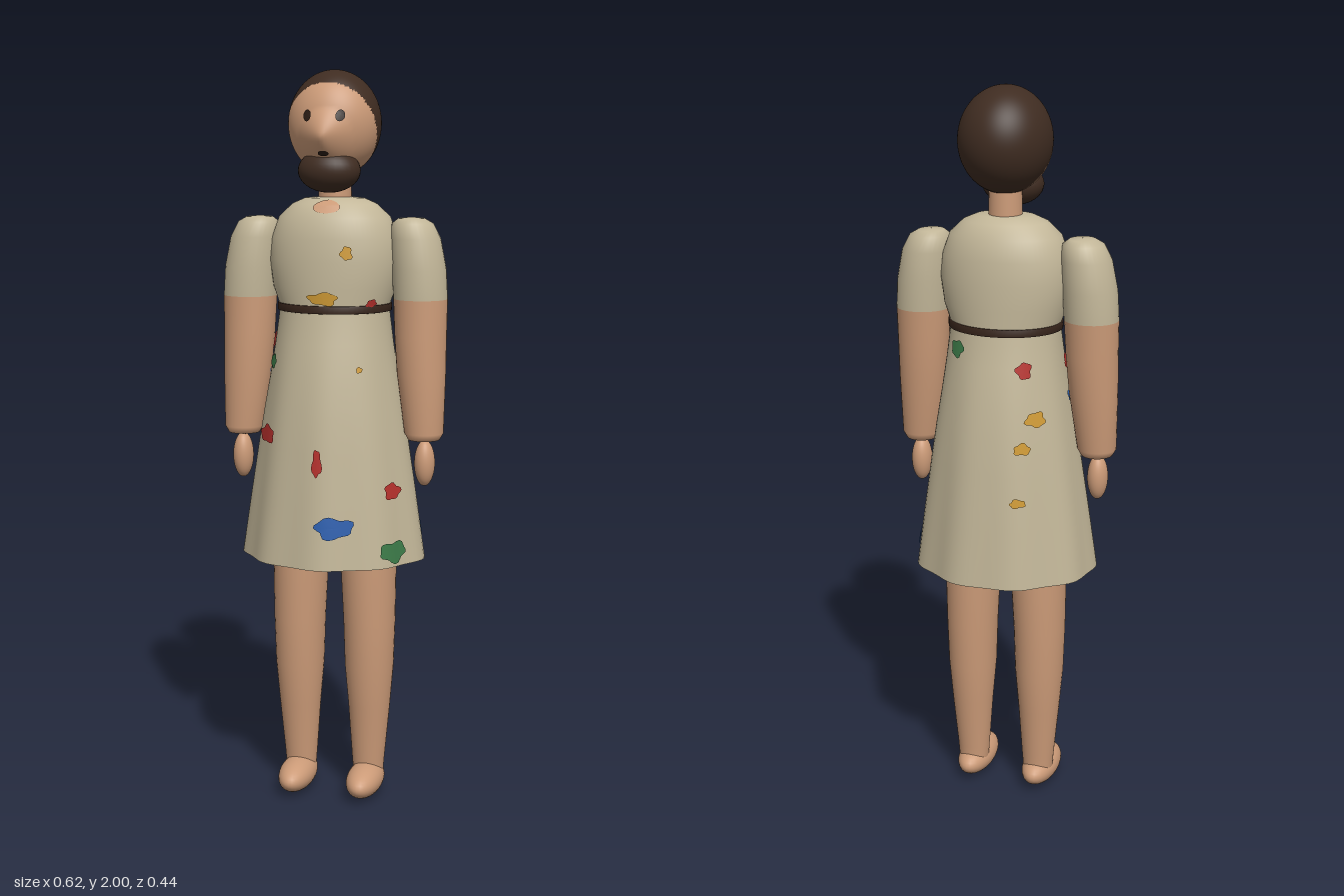
import * as THREE from 'three';

const mat = (name, color, side = THREE.FrontSide) => {
  const m = new THREE.MeshStandardMaterial({ color, side });
  m.name = name;
  return m;
};

// Grid surface closed around u; point(theta, row) returns a Vector3, rows run top to bottom
function surface(point, nu, nv) {
  const pos = [], idx = [];
  for (let j = 0; j <= nv; j++)
    for (let i = 0; i < nu; i++) pos.push(...point((i / nu) * Math.PI * 2, j));
  for (let j = 0; j < nv; j++)
    for (let i = 0; i < nu; i++) {
      const k = (i + 1) % nu, a = j * nu + i, b = a + nu, c = (j + 1) * nu + k, d = j * nu + k;
      idx.push(a, b, d, b, c, d);
    }
  const g = new THREE.BufferGeometry();
  g.setAttribute('position', new THREE.Float32BufferAttribute(pos, 3));
  g.setIndex(idx);
  g.computeVertexNormals();
  return g;
}

// Elliptical cross-sections: [y, centre x, centre z, radius x, radius z]
const loft = (rows, side = 1) => surface((t, j) => {
  const [y, cx, cz, rx, rz] = rows[j];
  return new THREE.Vector3(side * cx + rx * Math.sin(t), y, cz + rz * Math.cos(t));
}, 32, rows.length - 1);

// Dress profile: [y, radius x, radius z]
const DRESS = [
  [1.668, 0.04, 0.04], [1.665, 0.08, 0.058], [1.65, 0.115, 0.085], [1.615, 0.152, 0.112],
  [1.56, 0.172, 0.124], [1.5, 0.178, 0.129], [1.43, 0.168, 0.131], [1.385, 0.152, 0.129],
  [1.36, 0.151, 0.131], [1.28, 0.161, 0.148], [1.2, 0.173, 0.164], [1.1, 0.19, 0.179],
  [1.0, 0.206, 0.19], [0.85, 0.228, 0.204], [0.69, 0.25, 0.218],
];
function dressPoint(t, y) {
  let i = 0;
  while (i < DRESS.length - 2 && DRESS[i + 1][0] > y) i++;
  const [y0, x0, z0] = DRESS[i], [y1, x1, z1] = DRESS[i + 1];
  const f = (y0 - y) / (y0 - y1);
  const fold = Math.max(0, 1.36 - y) / 0.67;
  const w = 1 + fold * 0.022 * Math.sin(9 * t + 1.2) + fold * 0.012 * Math.cos(4 * t);
  return new THREE.Vector3((x0 + (x1 - x0) * f) * w * Math.sin(t), y, (z0 + (z1 - z0) * f) * w * Math.cos(t));
}

// Head: an egg whose front is drawn out to a pointed nose
const HEAD_Y = 1.86;
function headPoint(nx, ny, nz) {
  const x = nx * 0.124, y = ny * 0.14;
  let z = nz * 0.14;
  if (nz > 0) {
    const dy = y + 0.035, d = Math.hypot(x, dy < 0 ? dy * 0.5 : dy);
    z *= 0.87 + 0.25 * Math.max(0, 1 - d / 0.075);
  }
  return new THREE.Vector3(x, HEAD_Y + y, z);
}

// Thin irregular patch laid on a surface; at(dx, dy) gives surface points
function splat(at, w, h, seed, rough = 0.2) {
  const n = 24, rings = 4;
  const g = surface((t, j) => {
    const wob = 1 + rough * (Math.sin(3 * t + seed) * 0.5 + Math.sin(5 * t + seed * 2.3) * 0.6);
    const r = (1 - j / rings) * wob;
    const p = at(Math.sin(t) * w * r, Math.cos(t) * h * r);
    return p.addScaledVector(new THREE.Vector3(p.x, 0, p.z).normalize(), 0.004);
  }, n, rings);
  return g;
}

export function createModel() {
  const root = new THREE.Group();
  const skin = mat('skin', 0xcc9b78), hair = mat('hair', 0x3f2c21);
  const cloth = mat('cloth', 0xc3b799, THREE.DoubleSide);
  const paint = {
    red: mat('red paint', 0xb5302c, THREE.DoubleSide),
    blue: mat('blue paint', 0x2c5fae, THREE.DoubleSide),
    green: mat('green paint', 0x3c7a48, THREE.DoubleSide),
    yellow: mat('yellow paint', 0xcf9a35, THREE.DoubleSide),
  };
  const dark = mat('dark features', 0x2a1c15, THREE.DoubleSide);
  const belt = mat('belt', 0x38251b, THREE.DoubleSide);
  const neckSkin = mat('neckline skin', 0xcc9b78, THREE.DoubleSide);
  const add = (name, geo, m) => {
    const mesh = new THREE.Mesh(geo, m);
    mesh.name = name;
    root.add(mesh);
    return mesh;
  };
  const ball = (name, m, c, r) => {
    const mesh = add(name, new THREE.SphereGeometry(1, 32, 20), m);
    mesh.position.set(...c);
    mesh.scale.set(...r);
  };

  // Head, split into face and hair along a slanted hairline
  const N = 56;
  const head = surface((t, j) => {
    const a = (j / N) * Math.PI, s = Math.max(Math.sin(a), 1e-4);
    return headPoint(s * Math.sin(t), Math.cos(a), s * Math.cos(t));
  }, 96, N);
  const p = head.attributes.position, src = head.index.array, hairTris = [], faceTris = [];
  for (let i = 0; i < src.length; i += 3) {
    const tri = [src[i], src[i + 1], src[i + 2]];
    const y = tri.reduce((s, k) => s + p.getY(k), 0) / 3;
    const z = tri.reduce((s, k) => s + p.getZ(k), 0) / 3;
    (z < -0.03 + (y - 1.72) * 0.45 ? hairTris : faceTris).push(...tri);
  }
  head.setIndex([...hairTris, ...faceTris]);
  head.addGroup(0, hairTris.length, 0);
  head.addGroup(hairTris.length, faceTris.length, 1);
  add('head', head, [hair, skin]);
  ball('beard', hair, [0, 1.738, 0.06], [0.084, 0.058, 0.066]);

  // Eyes and mouth
  const onFace = (x, y) => (dx, dy) => {
    const nx = (x + dx) / 0.124, ny = (y + dy - HEAD_Y) / 0.14;
    return headPoint(nx, ny, Math.sqrt(Math.max(0, 1 - nx * nx - ny * ny)));
  };
  for (const s of [-1, 1]) add('eye', splat(onFace(s * 0.043, 1.88), 0.011, 0.015, 1, 0), dark);
  add('mouth', splat(onFace(0, 1.783), 0.014, 0.007, 1, 0), dark);

  // Neck and dress
  add('neck', new THREE.CylinderGeometry(0.043, 0.046, 0.14, 32), skin).position.set(0, 1.69, -0.003);
  add('dress', surface((t, j) => dressPoint(t, DRESS[j][0]), 72, DRESS.length - 1), cloth);
  const band = [[1.386, 0], [1.385, 0.004], [1.366, 0.004], [1.365, 0]];
  add('belt', surface((t, j) => {
    const q = dressPoint(t, band[j][0]);
    return q.addScaledVector(new THREE.Vector3(q.x, 0, q.z).normalize(), band[j][1]);
  }, 72, 3), belt);

  // Paint spots on the dress: [colour, angle from front, height, half width, half height]
  const onDress = (deg, y) => (dx, dy) => {
    const t = THREE.MathUtils.degToRad(deg), c = dressPoint(t, y);
    return dressPoint(t + dx / Math.hypot(c.x, c.z), y + dy);
  };
  [
    ['green', -62, 1.23, 0.025, 0.018], ['red', -53, 1.035, 0.045, 0.023],
    ['red', 0, 0.975, 0.012, 0.036], ['red', 57, 0.893, 0.03, 0.022],
    ['blue', 12, 0.805, 0.046, 0.028], ['green', 53, 0.732, 0.046, 0.028],
    ['yellow', 0, 1.405, 0.032, 0.017], ['yellow', 20, 1.525, 0.012, 0.018],
    ['red', 50, 1.392, 0.016, 0.01], ['yellow', 35, 1.22, 0.008, 0.008],
    ['blue', 109, 0.758, 0.032, 0.02], ['green', 142, 1.322, 0.025, 0.022],
    ['red', -146, 1.28, 0.02, 0.022], ['yellow', -137, 1.15, 0.028, 0.02],
    ['yellow', -150, 1.075, 0.022, 0.016], ['yellow', -155, 0.93, 0.02, 0.012],
    ['red', -82, 1.28, 0.025, 0.022], ['blue', -88, 1.19, 0.016, 0.016],
  ].forEach(([c, a, y, w, h], i) => add('paint spot', splat(onDress(a, y), w, h, i), paint[c]));
  add('neckline', splat(onDress(0, 1.645), 0.026, 0.017, 0, 0), neckSkin);

  // Limbs, mirrored
  for (const s of [-1, 1]) {
    add('sleeve', loft([
      [1.616, 0.21, 0, 0.001, 0.001], [1.613, 0.21, 0, 0.035, 0.04], [1.6, 0.213, 0, 0.055, 0.06],
      [1.56, 0.222, 0, 0.067, 0.072], [1.48, 0.232, 0.002, 0.073, 0.077], [1.4, 0.237, 0.003, 0.073, 0.073],
    ], s), cloth);
    add('arm', loft([
      [1.4, 0.237, 0.003, 0.073, 0.073], [1.3, 0.239, 0.007, 0.07, 0.07], [1.2, 0.243, 0.012, 0.066, 0.065],
      [1.04, 0.253, 0.02, 0.053, 0.053], [1.022, 0.253, 0.02, 0.043, 0.044], [1.014, 0.253, 0.02, 0.001, 0.001],
    ], s), skin);
    ball('hand', skin, [s * 0.256, 0.957, 0.022], [0.028, 0.063, 0.033]);
    add('leg', loft([
      [1.1, 0.088, 0, 0.001, 0.001], [1.05, 0.09, 0, 0.078, 0.095], [0.7, 0.096, 0, 0.078, 0.09],
      [0.5, 0.1, 0.001, 0.072, 0.08], [0.37, 0.1, 0.001, 0.068, 0.074], [0.25, 0.1, 0, 0.058, 0.06],
      [0.1, 0.098, 0, 0.046, 0.042], [0.05, 0.098, 0, 0.042, 0.04],
    ], s), skin);
    ball('foot', skin, [s * 0.098, 0.046, 0.037], [0.05, 0.045, 0.108]);
  }
  return root;
}
